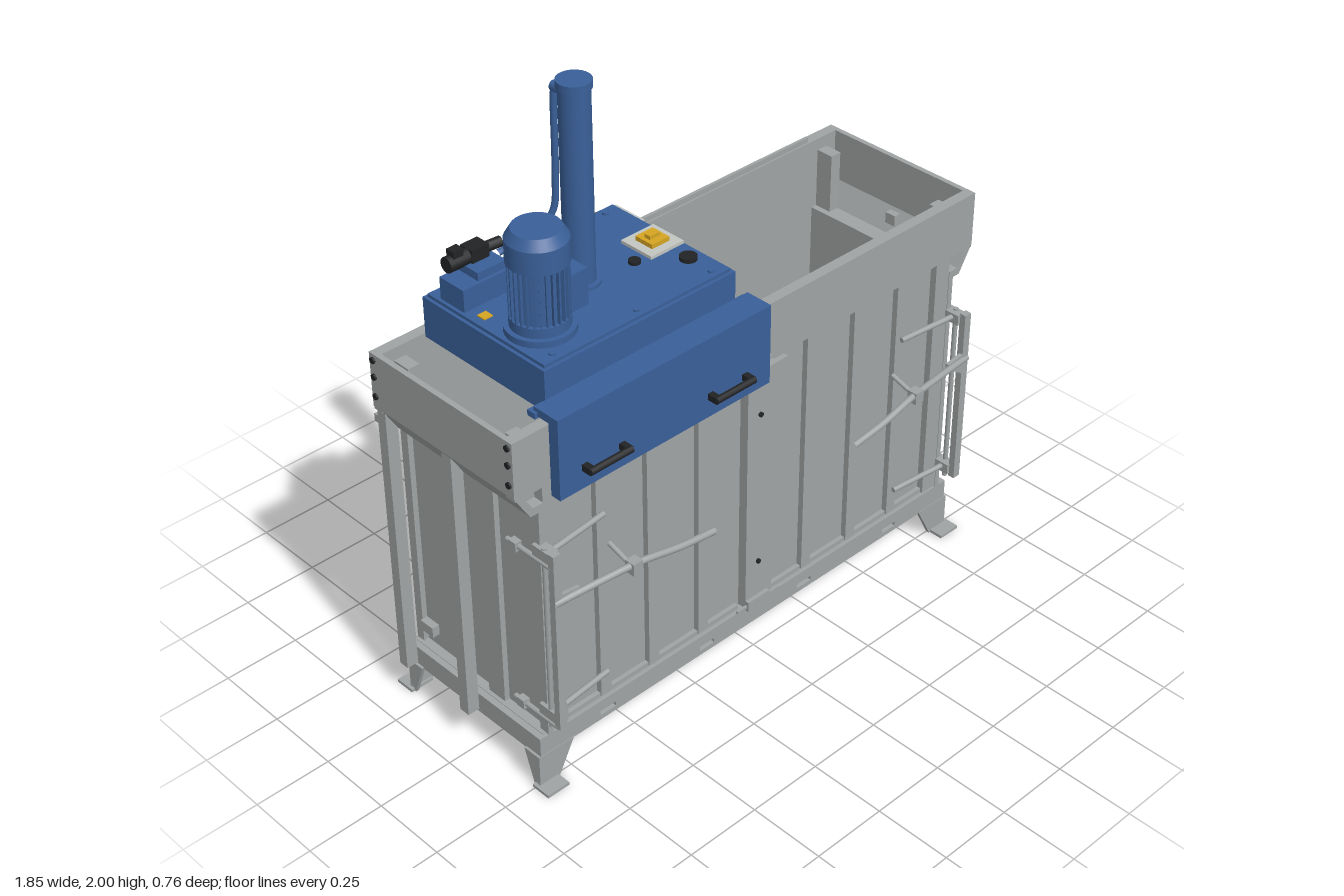
import * as THREE from 'three';

const mat = (name, color) => {
  const m = new THREE.MeshStandardMaterial({ color });
  m.name = name;
  return m;
};

export function createModel() {
  const root = new THREE.Group();
  root.name = 'twinChamberPress';
  const grey = mat('steelGrey', 0xa0a4a4);
  const blue = mat('machineBlue', 0x3a6099);
  const black = mat('black', 0x222325);
  const yellow = mat('yellow', 0xd6a622);
  const pale = mat('paleGrey', 0xc4c6c2);

  let parent = root;
  const group = (name) => {
    parent = new THREE.Group();
    parent.name = name;
    root.add(parent);
  };
  const add = (name, geo, m) => {
    const mesh = new THREE.Mesh(geo, m);
    mesh.name = name;
    parent.add(mesh);
    return mesh;
  };
  // box from opposite corners, in any order
  const box = (name, m, xa, xb, ya, yb, za, zb) =>
    add(name, new THREE.BoxGeometry(Math.abs(xb - xa), Math.abs(yb - ya), Math.abs(zb - za))
      .translate((xa + xb) / 2, (ya + yb) / 2, (za + zb) / 2), m);
  // upright cylinder
  const cyl = (name, m, x, z, r, y0, y1) =>
    add(name, new THREE.CylinderGeometry(r, r, y1 - y0, 32).translate(x, (y0 + y1) / 2, z), m);
  const tube = (name, m, r, pts) =>
    add(name, new THREE.TubeGeometry(new THREE.CatmullRomCurve3(pts.map((p) => new THREE.Vector3(...p)), false, 'centripetal'), 40, r, 10), m);
  // round bar between two points
  const rod = (name, m, r, a, b) => {
    const A = new THREE.Vector3(...a), B = new THREE.Vector3(...b), d = B.clone().sub(A);
    const mesh = add(name, new THREE.CylinderGeometry(r, r, d.length(), 12), m);
    mesh.position.copy(A).add(B).multiplyScalar(0.5);
    mesh.quaternion.setFromUnitVectors(new THREE.Vector3(0, 1, 0), d.normalize());
  };
  const points = (pts) => pts.map((p) => new THREE.Vector2(...p));
  const shape = (pts) => new THREE.Shape(points(pts));
  const extrude = (s, depth) => new THREE.ExtrudeGeometry(s, { depth, bevelEnabled: false });

  // base frame with slotted front and back rails
  group('base');
  for (const z of [0.245, -0.33]) {
    const s = shape([[-0.87, 0.11], [0.87, 0.11], [0.87, 0.18], [-0.87, 0.18]]);
    for (const x of [-0.61, -0.21, 0.21, 0.6])
      s.holes.push(new THREE.Path(points([[x - 0.03, 0.126], [x - 0.03, 0.142], [x + 0.03, 0.142], [x + 0.03, 0.126]])));
    add('baseRail', extrude(s, 0.015).translate(0, 0, z), grey);
    box('baseRailBacking', grey, -0.86, 0.86, 0.115, 0.175, z > 0 ? 0.225 : -0.31, z > 0 ? 0.238 : -0.297);
  }
  for (const s of [-1, 1]) box('baseEnd', grey, s * 0.84, s * 0.87, 0.11, 0.18, -0.329, 0.259);
  box('floor', grey, -0.85, 0.85, 0.16, 0.182, -0.32, 0.25);
  for (const s of [-1, 1]) {
    box('floorRib', grey, s * 0.2, s * 0.24, 0.18, 0.195, -0.3, 0.22);
    // splayed angle legs with foot plates
    for (const f of [-1, 1]) {
      const z = f > 0 ? 0.262 : -0.332;
      const front = shape([[s * 0.745, 0.115], [s * 0.87, 0.115], [s * 0.88, 0], [s * 0.805, 0]]);
      add('legFace', extrude(front, 0.012).translate(0, 0, f > 0 ? z - 0.012 : z), grey);
      const side = shape([[z - f * 0.065, 0.115], [z, 0.115], [z, 0], [z - f * 0.025, 0]]);
      add('legSide', extrude(side, 0.012).rotateY(-Math.PI / 2).translate(s > 0 ? 0.878 : -0.866, 0, 0), grey);
      box('footPlate', grey, s * 0.81, s * 0.89, 0, 0.01, z - f * 0.02, z + f * 0.047);
    }
  }

  // chamber walls, doors and pressed ribs
  group('chambers');
  box('backWall', grey, -0.82, 0.82, 0.18, 1.06, -0.315, -0.3);
  box('divider', grey, -0.04, 0.05, 0.18, 1.02, -0.3, 0.22);
  box('centrePost', grey, -0.05, 0.06, 0.18, 1.04, 0.22, 0.262);
  for (const y of [0.34, 0.88])
    add('postBolt', new THREE.CylinderGeometry(0.008, 0.008, 0.008, 12).rotateX(Math.PI / 2).translate(0, y, 0.265), black);
  box('lowerLatch', grey, -0.05, 0.04, 0.175, 0.21, 0.262, 0.275);
  box('lowerLatchBar', grey, -0.09, 0.09, 0.187, 0.195, 0.262, 0.27);
  box('upperLatch', grey, 0.01, 0.1, 1.02, 1.04, 0.255, 0.272);
  for (const s of [-1, 1]) {
    box('door', grey, s * 0.055, s * 0.82, 0.185, 1.05, 0.22, 0.236);
    box('endWall', grey, s * 0.8, s * 0.82, 0.18, 1.0, -0.31, 0.23);
    for (const x of [0.22, 0.42, 0.61]) {
      box('doorRib', grey, s * (x - 0.02), s * (x + 0.02), 0.19, 1.05, 0.236, 0.255);
      box('backRib', grey, s * (x - 0.02), s * (x + 0.02), 0.18, 1.05, -0.33, -0.315);
    }
    box('doorEdge', grey, s * 0.76, s * 0.82, 0.185, 1.05, 0.236, 0.258);
    box('doorFoot', grey, s * 0.07, s * 0.76, 0.185, 0.2, 0.236, 0.25);
    box('backEdge', grey, s * 0.77, s * 0.82, 0.18, 1.05, -0.33, -0.315);
    for (const [a, b] of [[0.225, 0.26], [0.0, 0.07], [-0.135, -0.115], [-0.33, -0.3]])
      box('endRib', grey, s * 0.82, s * 0.838, 0.18, 1.0, a, b);
    box('endPlate', grey, s * 0.82, s * 0.845, 0.23, 0.265, -0.3, -0.245);
    // outer uprights
    box('middleUpright', grey, s * 0.87, s * 0.91, 0.12, 1.06, -0.05, -0.012);
    box('backUpright', grey, s * 0.87, s * 0.91, 0.12, 1.06, -0.33, -0.295);
    box('uprightTie', grey, s * 0.82, s * 0.88, 0.12, 0.16, -0.045, -0.017);
    box('backTab', grey, s * 0.81, s * 0.89, 0.975, 1.0, -0.375, -0.33);
  }
  for (const x of [-0.4, 0.4]) box('backHook', grey, x - 0.01, x + 0.01, 0.93, 1.0, -0.345, -0.33);

  // open collar around the top
  group('collar');
  box('collarFront', grey, -0.915, 0.915, 1.05, 1.24, 0.225, 0.26);
  box('collarBack', grey, -0.915, 0.915, 1.05, 1.24, -0.335, -0.3);
  box('topStrip', grey, 0.03, 0.78, 1.24, 1.258, -0.315, -0.305);
  for (const s of [-1, 1]) {
    const end = shape([[s * 0.9, 1.24], [s * 0.917, 1.24], [s * 0.917, 1.06], [s * 0.865, 0.975], [s * 0.82, 0.975], [s * 0.82, 1.0], [s * 0.855, 1.0], [s * 0.9, 1.07]]);
    add('collarEnd', extrude(end, 0.595).translate(0, 0, -0.335), grey);
    for (const z of [-0.27, 0.195]) box('cornerColumn', grey, s * 0.82, s * 0.86, 1.0, 1.2, z - 0.03, z + 0.03);
    for (const z of [-0.318, 0.243]) for (const y of [1.1, 1.165, 1.22])
      add('collarBolt', new THREE.CylinderGeometry(0.01, 0.01, 0.01, 12).rotateZ(Math.PI / 2).translate(s * 0.918, y, z), black);
  }

  // door locking gear on both front corners
  group('doorLocks');
  for (const s of [-1, 1]) {
    box('lockBar', grey, s * 0.825, s * 0.852, 0.25, 0.87, 0.308, 0.33);
    rod('lockSpindle', grey, 0.008, [s * 0.84, 0.23, 0.28], [s * 0.84, 0.87, 0.28]);
    for (const y of [0.28, 0.85]) {
      rod('doorRod', grey, 0.009, [s * 0.61, y, 0.262], [s * 0.84, y, 0.285]);
      rod('sidePin', grey, 0.008, [s * 0.845, y - 0.03, 0.32], [s * 0.845, y - 0.03, 0.13]);
      box('pinBlock', grey, s * 0.835, s * 0.858, y - 0.045, y - 0.015, 0.15, 0.18);
      box('barBracket', grey, s * 0.815, s * 0.85, y - 0.02, y + 0.015, 0.24, 0.31);
    }
    tube('lockHandle', grey, 0.011, [[s * 0.85, 0.705, 0.325], [s * 0.7, 0.71, 0.342], [s * 0.56, 0.71, 0.357], [s * 0.42, 0.69, 0.368], [s * 0.29, 0.675, 0.37]]);
    box('handleClevis', grey, s * 0.565, s * 0.6, 0.685, 0.725, 0.335, 0.37);
    rod('handleStay', grey, 0.008, [s * 0.585, 0.73, 0.255], [s * 0.585, 0.7, 0.35]);
    add('handleGusset', extrude(shape([[s * 0.84, 0.65], [s * 0.84, 0.73], [s * 0.76, 0.72], [s * 0.76, 0.7]]), 0.012).translate(0, 0, 0.318), grey);
  }

  // sliding press head with front apron
  group('pressHead');
  box('headHousing', blue, -0.76, -0.06, 1.24, 1.37, -0.285, 0.215);
  box('headCover', blue, -0.75, -0.07, 1.37, 1.38, -0.275, 0.205);
  box('apron', blue, -0.8, -0.012, 1.02, 1.28, 0.272, 0.308);
  box('apronTop', blue, -0.8, -0.012, 1.255, 1.28, 0.215, 0.272);
  box('apronLip', blue, -0.81, -0.015, 1.25, 1.268, 0.2, 0.23);
  for (const x of [-0.645, -0.18]) {
    rod('apronHandle', black, 0.011, [x - 0.075, 1.09, 0.338], [x + 0.075, 1.09, 0.338]);
    for (const d of [-0.067, 0.067]) box('handleMount', black, x + d - 0.01, x + d + 0.01, 1.08, 1.1, 0.308, 0.342);
  }
  for (const x of [-0.7, -0.4, -0.12]) for (const z of [-0.25, 0.18]) cyl('coverBolt', blue, x, z, 0.01, 1.38, 1.386);
  cyl('fillerCap', black, -0.12, 0.09, 0.026, 1.38, 1.392);
  cyl('levelCap', black, -0.24, 0, 0.018, 1.38, 1.39);
  box('warningPlate', yellow, -0.725, -0.695, 1.38, 1.384, -0.095, -0.065);
  box('switchBase', pale, -0.197, -0.072, 1.38, 1.39, -0.102, 0.022);
  box('switchBody', yellow, -0.168, -0.102, 1.39, 1.404, -0.073, -0.005);
  box('switchKnob', yellow, -0.155, -0.115, 1.404, 1.416, -0.05, -0.028);
  box('sidePlate', pale, -0.06, -0.052, 1.31, 1.37, -0.28, -0.16);
  tube('cableSleeve', pale, 0.014, [[-0.27, 1.34, -0.28], [-0.25, 1.345, -0.31], [-0.215, 1.34, -0.328]]);
  tube('cable', yellow, 0.009, [[-0.22, 1.34, -0.327], [-0.13, 1.34, -0.332], [-0.05, 1.31, -0.32], [0.0, 1.265, -0.292], [0.01, 1.23, -0.285]]);

  // hydraulic ram
  group('ram');
  cyl('ramFlange', blue, -0.41, -0.035, 0.06, 1.38, 1.39);
  cyl('ramTube', blue, -0.41, -0.035, 0.045, 1.38, 1.98);
  cyl('ramCap', blue, -0.41, -0.035, 0.05, 1.978, 2.0);
  rod('ramPort', blue, 0.016, [-0.41, 1.95, -0.07], [-0.41, 1.95, -0.118]);
  tube('pressureHose', blue, 0.01, [[-0.41, 1.955, -0.115], [-0.412, 1.9, -0.117], [-0.415, 1.7, -0.117], [-0.425, 1.57, -0.122], [-0.47, 1.51, -0.15], [-0.52, 1.49, -0.17], [-0.58, 1.48, -0.175]]);
  tube('returnHose', blue, 0.008, [[-0.41, 1.44, -0.07], [-0.42, 1.45, -0.11], [-0.49, 1.45, -0.16], [-0.58, 1.44, -0.17]]);

  // valve block
  group('valve');
  box('valveBlock', blue, -0.74, -0.58, 1.38, 1.45, -0.23, -0.13);
  box('valveUpper', blue, -0.68, -0.58, 1.45, 1.475, -0.22, -0.14);
  box('valveBody', black, -0.66, -0.6, 1.455, 1.515, -0.235, -0.185);
  rod('solenoid', black, 0.024, [-0.73, 1.49, -0.21], [-0.66, 1.49, -0.21]);
  rod('solenoid', black, 0.016, [-0.6, 1.49, -0.21], [-0.545, 1.49, -0.205]);
  box('valvePlug', black, -0.715, -0.68, 1.5, 1.53, -0.225, -0.195);

  // finned electric motor
  group('motor');
  const mx = -0.64, mz = 0.065;
  cyl('motorFlange', blue, mx, mz, 0.1, 1.38, 1.4);
  cyl('motorNeck', blue, mx, mz, 0.085, 1.4, 1.43);
  cyl('motorBody', blue, mx, mz, 0.074, 1.43, 1.61);
  for (let i = 0; i < 28; i++)
    add('motorFin', new THREE.BoxGeometry(0.014, 0.17, 0.005).translate(0.078, 1.515, 0)
      .rotateY((i / 28) * Math.PI * 2).translate(mx, 0, mz), blue);
  cyl('fanCowl', blue, mx, mz, 0.088, 1.595, 1.665);
  add('fanCowlTop', new THREE.CylinderGeometry(0.07, 0.088, 0.03, 32).translate(mx, 1.68, mz), blue);
  box('terminalBox', blue, -0.58, -0.512, 1.42, 1.535, 0.02, 0.115);

  return root;
}
